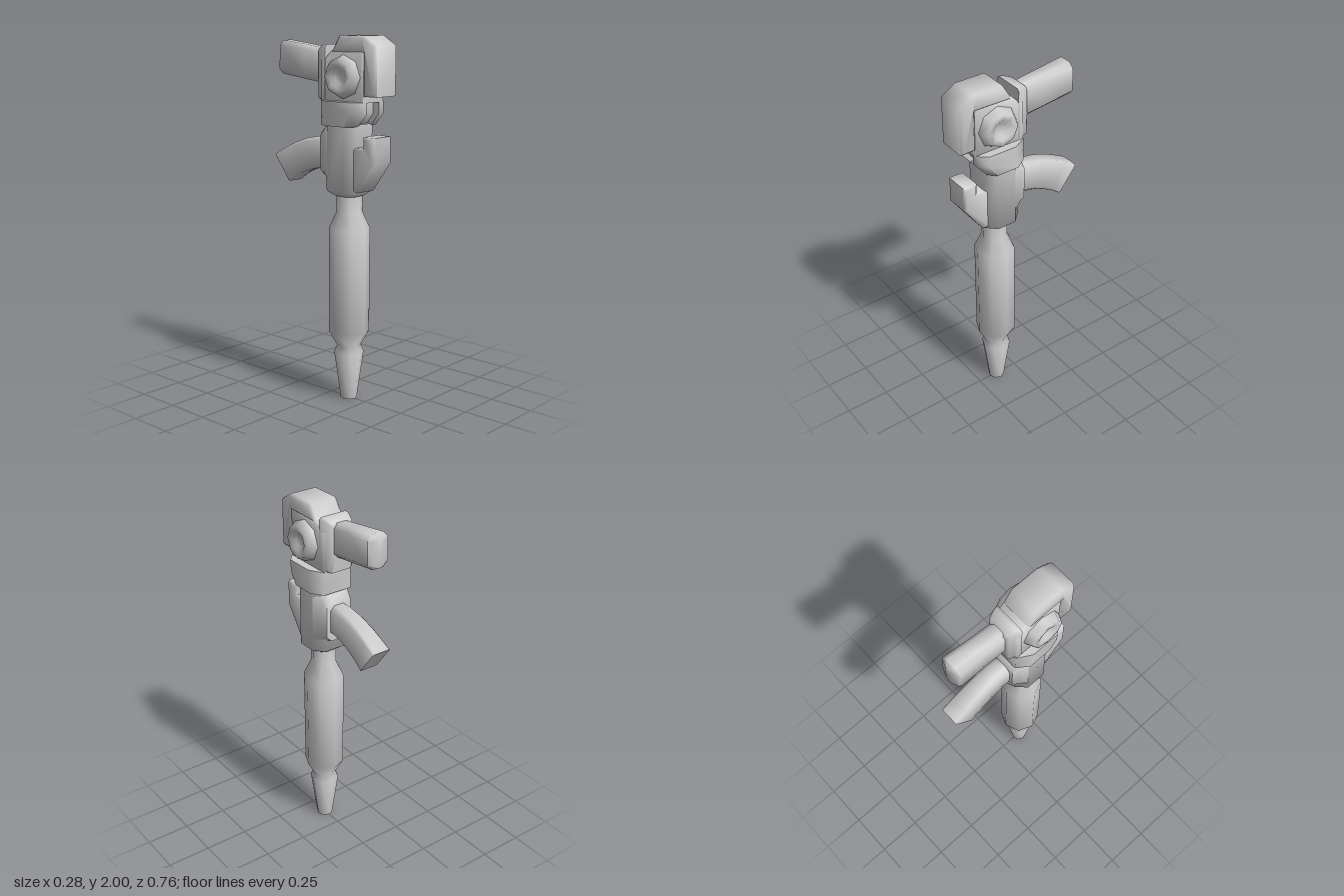
import * as THREE from 'three';
import { toCreasedNormals } from 'three/addons/utils/BufferGeometryUtils.js';

const CREASE = 1.2;

// Chamfered rectangle between two (z, y) points, half width w, corner cut c
function ring(z1, y1, z2, y2, w, c) {
  const half = Math.hypot(z1 - z2, y1 - y2) / 2;
  const a = w - c, b = 1 - c / half;
  const pts = [[-a, 1], [a, 1], [w, b], [w, -b], [a, -1], [-a, -1], [-w, -b], [-w, b]];
  return pts.map(([x, u]) => new THREE.Vector3(x,
    (y1 + y2) / 2 + u * (y1 - y2) / 2, (z1 + z2) / 2 + u * (z1 - z2) / 2));
}

// Skin a list of rings and close both ends
function loft(rings) {
  const tris = [], n = rings[0].length;
  const centre = (r) => r.reduce((s, p) => s.add(p), new THREE.Vector3()).divideScalar(n);
  const first = rings[0], last = rings[rings.length - 1];
  const c0 = centre(first), c1 = centre(last);
  for (let i = 0; i < n; i++) {
    const j = (i + 1) % n;
    for (let k = 0; k < rings.length - 1; k++) {
      const a = rings[k], b = rings[k + 1];
      tris.push(a[i], a[j], b[j], a[i], b[j], b[i]);
    }
    tris.push(c0, first[j], first[i], c1, last[i], last[j]);
  }
  return toCreasedNormals(new THREE.BufferGeometry().setFromPoints(tris), CREASE);
}

// Side profile in (z, y), extruded symmetrically across x
function sideExtrude(points, halfWidth, bevel) {
  const shape = new THREE.Shape(points.map(([z, y]) => new THREE.Vector2(z, y)));
  const depth = 2 * (halfWidth - bevel);
  const g = new THREE.ExtrudeGeometry(shape, {
    depth, bevelEnabled: true, bevelSize: bevel, bevelThickness: bevel,
    bevelOffset: -bevel, bevelSegments: 1,
  });
  g.translate(0, 0, -depth / 2).rotateY(-Math.PI / 2);
  return toCreasedNormals(g, CREASE);
}

// Eight-sided turned part from (radius, height) pairs
function turned(profile) {
  return new THREE.LatheGeometry(profile.map(([r, y]) => new THREE.Vector2(r, y)), 8);
}

export function createModel() {
  const group = new THREE.Group();
  const grey = new THREE.MeshStandardMaterial({ color: 0xcccccc });
  grey.name = 'light grey';
  const add = (name, geometry) => {
    const mesh = new THREE.Mesh(geometry, grey);
    mesh.name = name;
    group.add(mesh);
  };

  // Long shaft with tapered tip
  const shaft = turned([[0, 0], [0.045, 0], [0.082, 0.27], [0.066, 0.305], [0.112, 0.39],
    [0.112, 0.97], [0.07, 1.06], [0.07, 1.2], [0, 1.2]]);
  add('shaft', toCreasedNormals(shaft.translate(0, 0, 0.13), CREASE));

  // Main body above the shaft
  add('body', loft([
    ring(0.2, 1.15, 0.06, 1.15, 0.07, 0.035),
    ring(0.235, 1.18, 0.02, 1.18, 0.114, 0.052),
    ring(0.235, 1.54, 0.02, 1.54, 0.114, 0.052),
  ]));

  // Forward hook
  add('frontHook', sideExtrude([[0.2, 1.18], [0.245, 1.18], [0.36, 1.34], [0.36, 1.48],
    [0.28, 1.48], [0.28, 1.42], [0.2, 1.42]], 0.075, 0.012));

  // Rear hub and curved lower grip
  add('gripHub', loft([
    ring(0.07, 1.53, 0.07, 1.22, 0.112, 0.03),
    ring(0.02, 1.525, 0.02, 1.25, 0.088, 0.03),
    ring(-0.012, 1.5, -0.012, 1.255, 0.078, 0.03),
  ]));
  add('curvedGrip', loft([
    [0, 1.46, 0, 1.285], [-0.06, 1.458, -0.045, 1.285], [-0.15, 1.44, -0.11, 1.272],
    [-0.24, 1.407, -0.17, 1.25], [-0.31, 1.372, -0.22, 1.225], [-0.378, 1.335, -0.27, 1.19],
  ].map((p, i) => ring(...p, 0.056, 0.028 - i * 0.004))));

  // Collar with front slot, tapering in at its lower front edge
  const plan = [[-0.13, 0.08], [-0.085, 0], [0.085, 0], [0.13, 0.08], [0.13, 0.24], [0.09, 0.288],
    [0.05, 0.288], [0.05, 0.25], [-0.05, 0.25], [-0.05, 0.288], [-0.09, 0.288], [-0.13, 0.24]];
  const collar = new THREE.ExtrudeGeometry(
    new THREE.Shape(plan.map(([x, z]) => new THREE.Vector2(x, z))),
    { depth: 0.13, steps: 2, bevelEnabled: false });
  collar.rotateX(Math.PI / 2).translate(0, 1.66, 0);
  const pos = collar.attributes.position;
  for (let i = 0; i < pos.count; i++) {
    if (pos.getY(i) < 1.55) pos.setZ(i, pos.getZ(i) * 0.81);
  }
  add('collar', toCreasedNormals(collar, CREASE));

  // Head block with overhanging cap
  add('headBlock', sideExtrude([[0, 1.655], [0.29, 1.655], [0.29, 1.92], [0.07, 1.92],
    [0.03, 1.88], [0, 1.88]], 0.088, 0.008));
  add('headCap', sideExtrude([[0.29, 1.69], [0.378, 1.69], [0.378, 1.95], [0.295, 2],
    [0.125, 2], [0.07, 1.91], [0.29, 1.91]], 0.09, 0.014));

  // Dished side knobs
  for (const side of [1, -1]) {
    const knob = turned([[0.114, 0.06], [0.114, 0.092], [0.09, 0.138], [0.06, 0.136],
      [0.035, 0.118], [0, 0.114]]);
    knob.rotateZ(-side * Math.PI / 2).translate(0, 1.787, 0.163);
    add(side > 0 ? 'leftKnob' : 'rightKnob', toCreasedNormals(knob, CREASE));
  }

  // Rear plate and straight upper handle
  add('rearPlate', loft([
    ring(0.035, 1.952, 0.035, 1.66, 0.09, 0.012),
    ring(0.015, 1.952, 0.015, 1.66, 0.085, 0.012),
    ring(-0.03, 1.935, -0.03, 1.66, 0.07, 0.012),
    ring(-0.042, 1.92, -0.042, 1.75, 0.056, 0.012),
  ]));
  add('upperHandle', loft([
    ring(-0.02, 1.93, -0.02, 1.745, 0.054, 0.025),
    ring(-0.15, 1.947, -0.15, 1.76, 0.055, 0.025),
    ring(-0.325, 1.968, -0.33, 1.785, 0.063, 0.028),
    ring(-0.345, 1.945, -0.345, 1.79, 0.02, 0.01),
  ]));

  return group;
}
